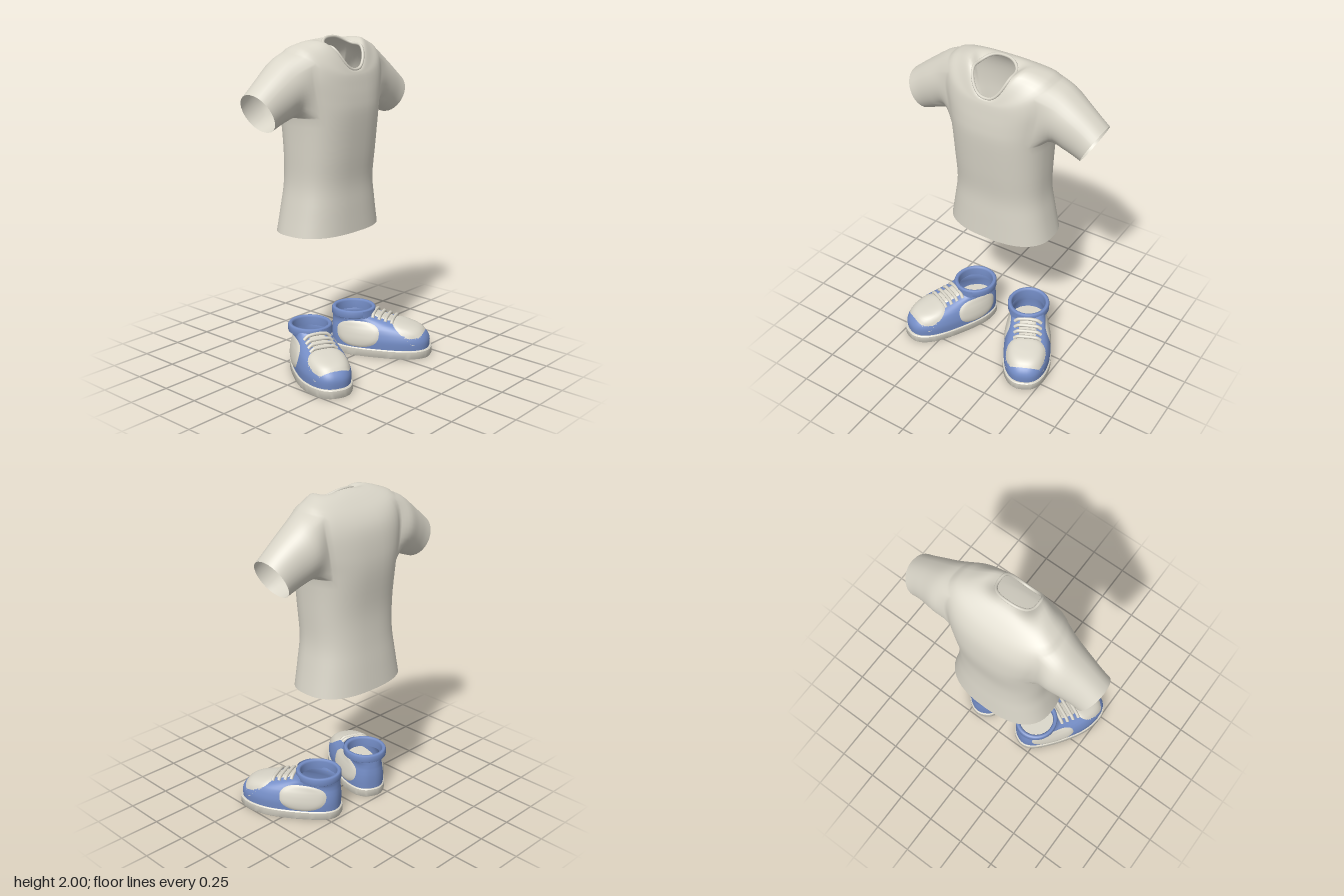
import * as THREE from 'three';
import { mergeVertices, toCreasedNormals } from 'three/addons/utils/BufferGeometryUtils.js';

const cream = new THREE.MeshStandardMaterial({ color: 0xd9d5c8, side: THREE.DoubleSide });
cream.name = 'cream';
const blue = new THREE.MeshStandardMaterial({ color: 0x748dc6, side: THREE.DoubleSide });
blue.name = 'blue';

const V = (x, y, z) => new THREE.Vector3(x, y, z);
const spow = (v, p) => Math.sign(v) * Math.pow(Math.abs(v), p);

function mesh(name, geometry, material) {
  const m = new THREE.Mesh(geometry, material);
  m.name = name;
  return m;
}

// Smooth interpolation through the rows of a table, v from 0 to 1
function sample(rows, v) {
  const n = rows.length - 1;
  const i = Math.min(n - 1, Math.floor(v * n)), t = v * n - i;
  const at = k => rows[Math.max(0, Math.min(n, k))];
  return rows[0].map((_, c) => {
    const a = at(i - 1)[c], b = at(i)[c], d = at(i + 1)[c], e = at(i + 2)[c];
    return b + 0.5 * t * (d - a + t * (2 * a - 5 * b + 4 * d - e + t * (3 * (b - d) + e - a)));
  });
}

function indexed(points, index) {
  let g = new THREE.BufferGeometry().setFromPoints(points);
  g.setIndex(index);
  g = mergeVertices(g, 1e-5);
  g.computeVertexNormals();
  return g;
}

// Grid surface from a point function of u and v
function grid(nu, nv, fn) {
  const pts = [], idx = [];
  for (let j = 0; j <= nv; j++) for (let i = 0; i <= nu; i++) pts.push(fn(i / nu, j / nv));
  for (let j = 0; j < nv; j++) for (let i = 0; i < nu; i++) {
    const a = j * (nu + 1) + i, d = a + nu + 1;
    idx.push(a, d, d + 1, a, d + 1, a + 1);
  }
  return indexed(pts, idx);
}

// ---------- Shirt ----------
// half width, side z, front z, back z, side y, front y, back y
const torso = [
  [0.34, -0.13, 0.10, -0.36, 0.85, 0.85, 0.85],
  [0.312, -0.125, 0.094, -0.345, 1.0, 1.0, 1.0],
  [0.29, -0.12, 0.09, -0.33, 1.15, 1.15, 1.15],
  [0.294, -0.115, 0.11, -0.325, 1.33, 1.33, 1.33],
  [0.306, -0.11, 0.13, -0.345, 1.55, 1.55, 1.55],
  [0.33, -0.12, 0.127, -0.342, 1.68, 1.65, 1.68],
  [0.35, -0.12, 0.117, -0.32, 1.82, 1.73, 1.80],
  [0.33, -0.12, 0.11, -0.275, 1.925, 1.775, 1.88],
  [0.25, -0.10, 0.105, -0.205, 1.967, 1.795, 1.945],
  [0.17, -0.05, 0.10, -0.145, 1.982, 1.806, 1.982],
  [0.118, 0.0, 0.09, -0.10, 1.945, 1.815, 1.992],
];
// top x, top y, bottom x, bottom y, z radius, z centre
const sleeve = [
  [0.40, 1.895, 0.335, 1.548, 0.153, -0.13],
  [0.50, 1.822, 0.415, 1.527, 0.135, -0.128],
  [0.58, 1.76, 0.475, 1.505, 0.123, -0.126],
  [0.635, 1.715, 0.515, 1.49, 0.12, -0.125],
];

function torsoPoint(a, v) {
  const [w, zs, zf, zb, ys, yf, yb] = sample(torso, v);
  const c = Math.cos(a), s = Math.sin(a);
  const [ze, ye] = s > 0 ? [zf, yf] : [zb, yb];
  return V(w * spow(c, 0.8), ys + (ye - ys) * s * s, zs + (ze - zs) * Math.pow(Math.abs(s), 0.8));
}

function shirtGeometry() {
  const N = 48, R = 40, low = 16, high = 28, half = 5;
  const pts = [], idx = [];
  const id = (r, c) => r * N + ((c % N) + N) % N;
  for (let r = 0; r <= R; r++) for (let c = 0; c < N; c++) pts.push(torsoPoint(c / N * 2 * Math.PI, r / R));
  const inHole = c => c < half || c >= N - half || (c >= N / 2 - half && c < N / 2 + half);
  for (let r = 0; r < R; r++) for (let c = 0; c < N; c++) {
    if (r >= low && r < high && inHole(c)) continue;
    const a = id(r, c), b = id(r + 1, c), d = id(r + 1, c + 1), e = id(r, c + 1);
    idx.push(a, b, d, a, d, e);
  }
  // Sleeves grow out of the armhole edges
  for (const side of [1, -1]) {
    const col = c => (side > 0 ? c : N / 2 - c);
    let ring = [];
    for (let c = -half; c < half; c++) ring.push(id(low, col(c)));
    for (let r = low; r < high; r++) ring.push(id(r, col(half)));
    for (let c = half; c > -half; c--) ring.push(id(high, col(c)));
    for (let r = high; r > low; r--) ring.push(id(r, col(-half)));
    const n = ring.length;
    const paths = ring.map(k => {
      const p = pts[k], f = Math.atan2((p.y - 1.74) / 0.19, (p.z + 0.12) / 0.15);
      const s = (1 + Math.sin(f)) / 2;
      return [[p.x, p.y, p.z], ...sleeve.map(([tx, ty, bx, by, rz, zc]) =>
        [side * (bx + (tx - bx) * s), by + (ty - by) * s, zc + rz * Math.cos(f)])];
    });
    for (let k = 1; k <= 16; k++) {
      const next = paths.map(p => pts.push(V(...sample(p, k / 16))) - 1);
      for (let j = 0; j < n; j++) {
        const i = (j + 1) % n, a = ring[j], b = next[j], d = next[i], e = ring[i];
        if (side > 0) idx.push(a, b, d, a, d, e);
        else idx.push(a, d, b, a, e, d);
      }
      ring = next;
    }
  }
  return indexed(pts, idx);
}

// ---------- Shoe: +z is the toe, +x the outer side ----------
const EXP = 2.5;
// y, toe z, heel z, half width
const upper = [
  [0.045, 0.493, -0.128, 0.143], [0.10, 0.495, -0.13, 0.146], [0.14, 0.475, -0.13, 0.14],
  [0.17, 0.435, -0.128, 0.131], [0.19, 0.375, -0.126, 0.122], [0.205, 0.31, -0.125, 0.116],
  [0.22, 0.245, -0.124, 0.113], [0.24, 0.17, -0.123, 0.115], [0.265, 0.135, -0.122, 0.118],
];
const ramp = z => THREE.MathUtils.smoothstep(z, -0.05, 0.32);
const shift = z => 0.022 * ramp(z);
const widen = z => 0.95 + 0.08 * ramp(z);

function outline(a, y, toe, heel, w) {
  const z = (toe + heel) / 2 + (toe - heel) / 2 * spow(Math.cos(a), 2 / EXP);
  return V(shift(z) + w * widen(z) * spow(Math.sin(a), 2 / EXP), y, z);
}

// Half width of the upper at a ring and a z
function halfWidth([, toe, heel, w], z) {
  const t = Math.abs((z - (toe + heel) / 2) / ((toe - heel) / 2));
  return t >= 1 ? 0 : w * widen(z) * Math.pow(1 - Math.pow(t, EXP), 1 / EXP);
}

// Height of the upper above a plan position
function height(x, z) {
  let lo = 0.1, hi = 1;
  for (let i = 0; i < 22; i++) {
    const m = (lo + hi) / 2;
    if (Math.abs(x - shift(z)) < halfWidth(sample(upper, m), z)) lo = m; else hi = m;
  }
  return sample(upper, lo)[0];
}

function ringAtHeight(y) {
  let lo = 0, hi = 1;
  for (let i = 0; i < 22; i++) {
    const m = (lo + hi) / 2;
    if (sample(upper, m)[0] < y) lo = m; else hi = m;
  }
  return sample(upper, lo);
}

// Rounded panel laid on the upper; place(a, b, lift) maps its plane to the surface
const panel = (power, place) => grid(48, 12, (u, t) => {
  const a = u * 2 * Math.PI;
  return place(t * spow(Math.cos(a), power), t * spow(Math.sin(a), power), 0.007 * (1 - Math.pow(t, 10)));
});

function createShoe() {
  const shoe = new THREE.Group();
  const add = (name, g, m) => shoe.add(mesh(name, g, m));

  const soleRings = [[0, 1], [0, 0.004], [0.006, 0], [0.048, 0], [0.054, 0.006], [0.054, 1]];
  add('sole', toCreasedNormals(grid(64, 5, (u, v) => {
    const [y, inset] = soleRings[Math.round(v * 5)];
    if (inset === 1) return V(0.01, y, 0.18);
    return outline(u * 2 * Math.PI, y, 0.508 - inset, -0.137 + inset, 0.151 - inset);
  }), 0.7), cream);
  add('upper', grid(72, 40, (u, v) => outline(u * 2 * Math.PI, ...sample(upper, v))), blue);

  add('toeCap', panel(0.75, (a, b, lift) => {
    const z = 0.365 + 0.1 * b, x = shift(z) + 0.125 * a;
    return V(x, height(x, z) + lift, z);
  }), cream);
  add('tongue', panel(0.4, (a, b, lift) => {
    const z = 0.205 + 0.062 * b, x = shift(z) + 0.055 * a;
    return V(x, height(x, z) + lift, z);
  }), cream);
  for (const side of [1, -1]) {
    add('sidePanel', panel(0.85, (a, b, lift) => {
      const z = 0.065 + 0.14 * a, y = 0.15 + (b > 0 ? 0.07 : 0.092) * b;
      return V(shift(z) + side * (halfWidth(ringAtHeight(y), z) + lift), y, z);
    }), cream);
  }

  // Laces bridge the tongue
  for (let i = 0; i < 4; i++) {
    const z = 0.15 + i * 0.04, pts = [];
    for (let k = -4; k <= 4; k++) {
      const x = shift(z) + k * 0.021;
      pts.push(V(x, height(x, z) + (Math.abs(k) === 4 ? 0 : 0.011), z));
    }
    add('lace', new THREE.TubeGeometry(new THREE.CatmullRomCurve3(pts), 24, 0.011, 8), cream);
  }

  // Padded ankle collar with its overlapping tab
  const profile = [[0.108, 0.225], [0.106, 0.275], [0.113, 0.287], [0.126, 0.287], [0.133, 0.278], [0.133, 0.243], [0.124, 0.236]];
  const collar = mesh('ankleCollar', new THREE.LatheGeometry(profile.map(p => new THREE.Vector2(...p)), 48), blue);
  const tab = mesh('collarTab', new THREE.CylinderGeometry(0.138, 0.138, 0.046, 16, 1, true, -0.9, 0.8), blue);
  tab.position.y = 0.261;
  const ankle = new THREE.Group();
  ankle.name = 'ankle';
  ankle.add(collar, tab);
  ankle.position.z = 0.008;
  ankle.scale.z = 1.05;
  shoe.add(ankle);
  const insole = mesh('insole', new THREE.CircleGeometry(0.118, 32), cream);
  insole.rotation.x = -Math.PI / 2;
  insole.position.y = 0.13;
  shoe.add(insole);
  return shoe;
}

export function createModel() {
  const model = new THREE.Group();
  model.name = 'outfit';

  const shirt = new THREE.Group();
  shirt.name = 'shirt';
  shirt.add(mesh('shirtBody', shirtGeometry(), cream));
  const neck = [];
  for (let i = 0; i < 32; i++) neck.push(torsoPoint(i / 16 * Math.PI, 0.99));
  shirt.add(mesh('neckband', new THREE.TubeGeometry(new THREE.CatmullRomCurve3(neck, true), 64, 0.009, 8, true), cream));
  model.add(shirt);

  for (const side of [1, -1]) {
    const foot = new THREE.Group();
    foot.name = side > 0 ? 'leftShoe' : 'rightShoe';
    const shoe = createShoe();
    shoe.name = 'shoe';
    shoe.position.set(0.2, 0, -0.1);
    shoe.rotation.y = THREE.MathUtils.degToRad(25);
    foot.add(shoe);
    foot.scale.x = side;
    model.add(foot);
  }
  return model;
}
